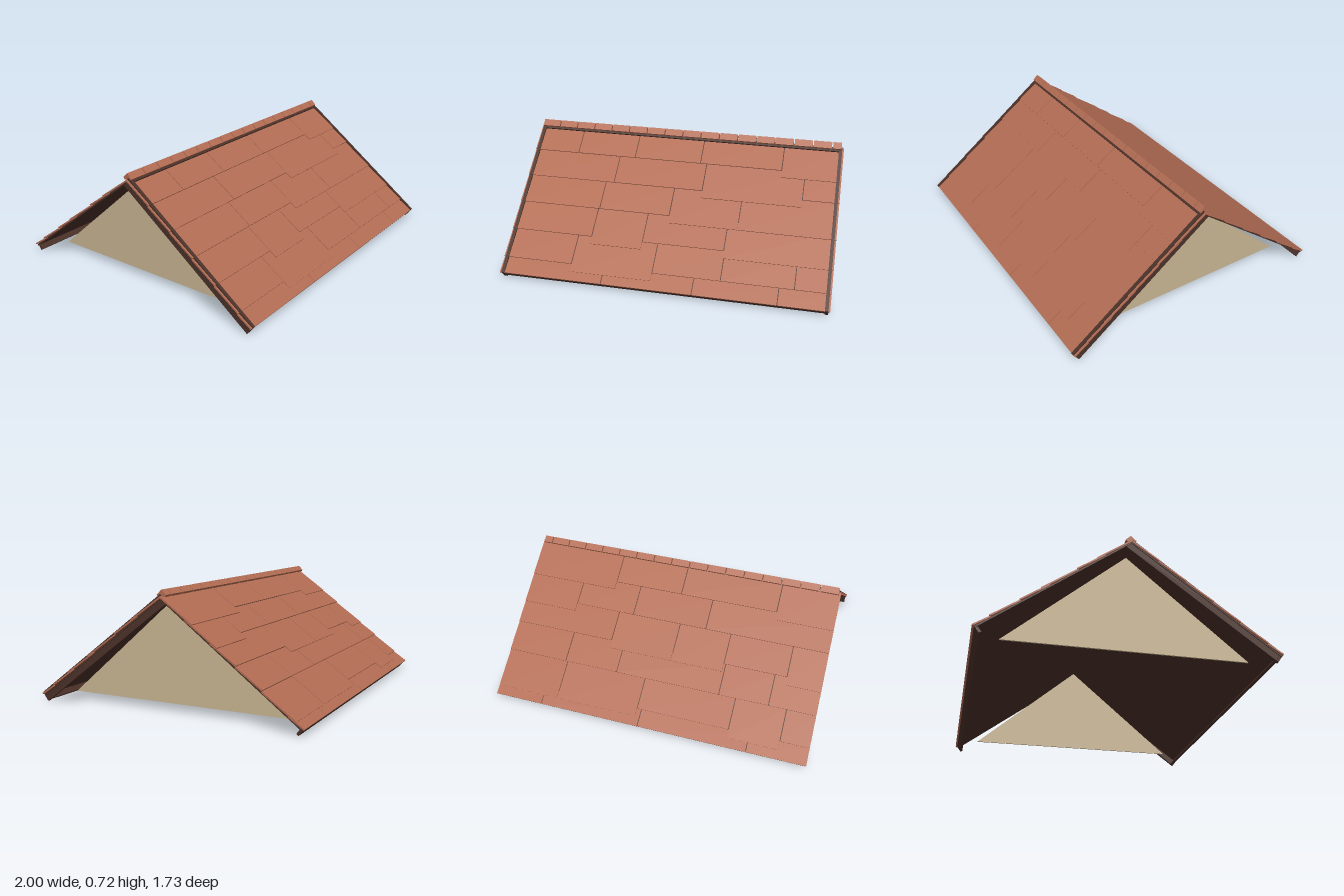
import * as THREE from 'three';

const tile = new THREE.MeshStandardMaterial({ name: 'terracotta', color: 0xb26c53 });
const trim = new THREE.MeshStandardMaterial({ name: 'darkBrown', color: 0x4b3129 });
const plaster = new THREE.MeshStandardMaterial({ name: 'tan', color: 0xc8b592 });

const PITCH = Math.atan2(0.645, 0.86);
const LENGTH = Math.hypot(0.645, 0.86);
const RIDGE_Y = 0.692;

let seed = 7;
const random = () => (seed = (seed * 16807) % 2147483647) / 2147483647;

function box(parent, name, material, size, position) {
  const mesh = new THREE.Mesh(new THREE.BoxGeometry(...size), material);
  mesh.name = name;
  mesh.position.set(...position);
  parent.add(mesh);
  return mesh;
}

function prism(parent, name, material, points, width, x) {
  // Points are [z, y]; the profile is extruded along x.
  const shape = new THREE.Shape(points.map(([z, y]) => new THREE.Vector2(-z, y)));
  const geometry = new THREE.ExtrudeGeometry(shape, { depth: width, bevelEnabled: false });
  geometry.rotateY(Math.PI / 2).translate(x - width / 2, 0, 0);
  const mesh = new THREE.Mesh(geometry, material);
  mesh.name = name;
  parent.add(mesh);
}

// One slope: local x runs along the ridge, z down the slope, y out of it.
function makeSlope(name) {
  const slope = new THREE.Group();
  slope.name = name;
  slope.position.y = RIDGE_Y;
  slope.rotation.x = PITCH;
  box(slope, 'deck', trim, [1.99, 0.008, LENGTH - 0.01], [0, -0.014, LENGTH / 2]);

  // Overlapping courses of shingles, each tilted so its lower edge stands proud
  const edges = [0, 0.2, 0.392, 0.584, 0.776, 0.968, LENGTH];
  for (let row = 0; row < 6; row++) {
    const top = edges[row];
    let x = -1;
    while (x < 1) {
      let end = x + 0.3 + random() * 0.4;
      if (end > 0.85) end = 1;
      const drop = row < 5 && random() < 0.3 ? 0.05 : 0;
      const length = edges[row + 1] - top + drop;
      const gap = end < 1 ? 0.005 : 0;
      const shingle = box(slope, 'shingle', tile, [end - x - gap, 0.009, length],
        [(x + end - gap) / 2, -0.004 + random() * 0.001, top + length / 2]);
      shingle.rotation.x = -0.007 / length;
      x = end;
    }
  }

  // Fascia hanging square to the slope at the eave
  box(slope, 'fascia', trim, [1.98, 0.045, 0.016], [0, -0.03, LENGTH - 0.014]);
  return slope;
}

export function createModel() {
  const model = new THREE.Group();
  model.name = 'gableRoof';

  const front = makeSlope('frontSlope');
  model.add(front);
  const back = new THREE.Group();
  back.name = 'backHalf';
  back.rotation.y = Math.PI;
  back.add(makeSlope('backSlope'));
  model.add(back);

  for (const side of [-1, 1]) {
    // Barge boards along the ends of the front slope
    box(front, 'bargeBoard', trim, [0.02, 0.064, LENGTH], [side * 0.98, -0.023, LENGTH / 2]);
    // Recessed gable walls
    prism(model, 'gableWall', plaster, [[0.71, 0.05], [-0.71, 0.05], [0, 0.66]], 0.01, side * 0.85);
  }

  // Dark ridge board showing below the front edge of the caps
  box(front, 'ridgeBoard', trim, [1.96, 0.014, 0.03], [0, 0.002, 0.02]);

  // Row of separate ridge caps
  const step = 0.12;
  for (let start = -0.988; start < 0.97; start += step) {
    const width = Math.min(step - 0.007, 0.985 - start);
    prism(model, 'ridgeCap', tile,
      [[0.03, 0.694], [0.022, 0.684], [-0.024, 0.684], [-0.032, 0.696], [-0.002, 0.725]],
      width, start + width / 2);
  }
  return model;
}
